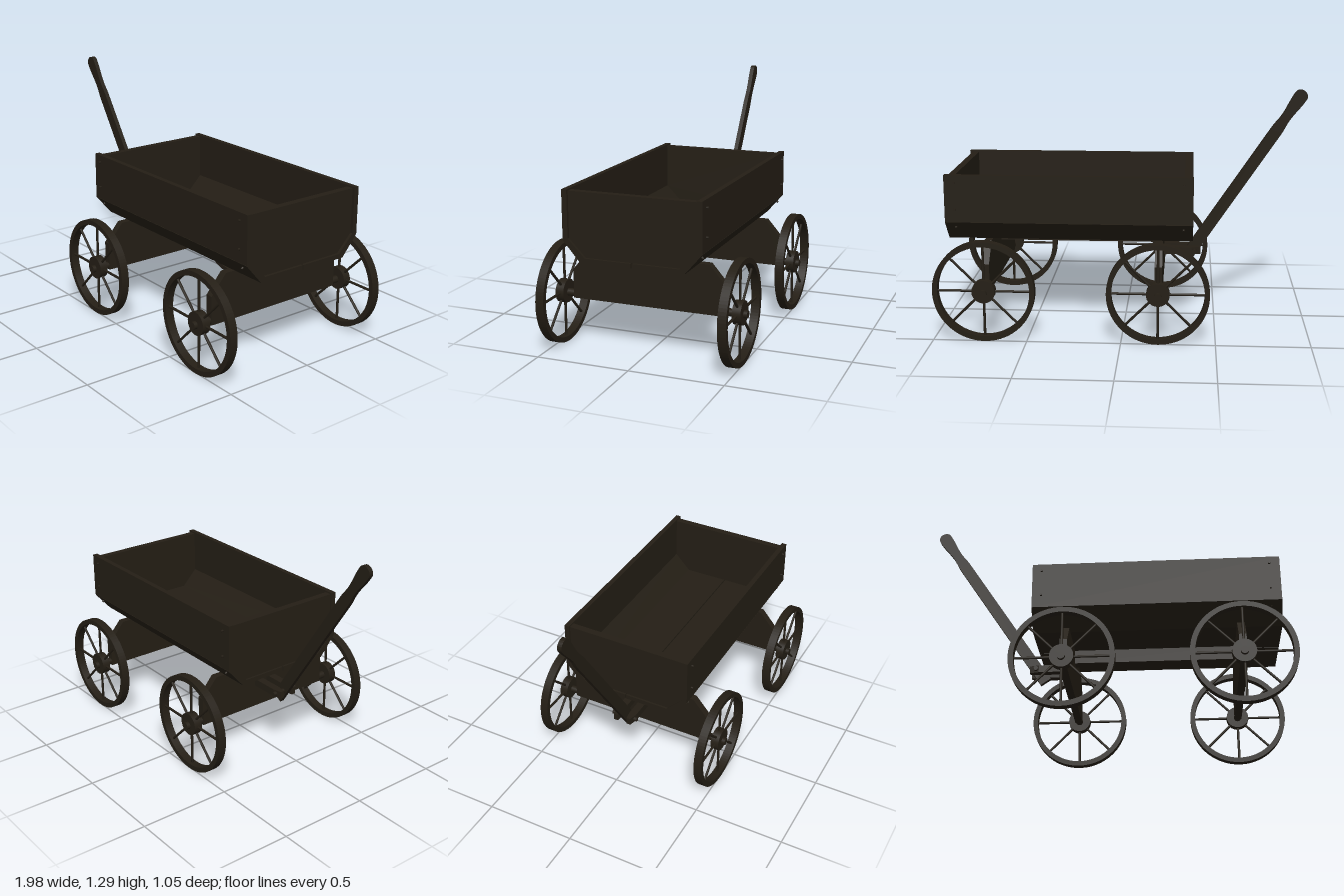
import * as THREE from 'three';

const wood = new THREE.MeshStandardMaterial({ color: 0x241e15 });

export function createModel() {
  const wagon = new THREE.Group();
  wagon.name = 'wagon';

  const add = (parent, name, geometry, x = 0, y = 0, z = 0) => {
    const mesh = new THREE.Mesh(geometry, wood);
    mesh.name = name;
    mesh.position.set(x, y, z);
    parent.add(mesh);
    return mesh;
  };

  // A [z, y] outline extruded lengthwise from x0 to x1
  const board = (name, points, x0, x1) => {
    const shape = new THREE.Shape(points.map(([z, y]) => new THREE.Vector2(-z, y)));
    const geometry = new THREE.ExtrudeGeometry(shape, { depth: x1 - x0, bevelEnabled: false });
    geometry.rotateY(Math.PI / 2).translate(x0, 0, 0);
    return add(wagon, name, geometry);
  };
  const mirrored = (half) => [...half, ...half.map(([z, y]) => [-z, y]).reverse()];

  // Cargo box: upright sides, sloped lower sides, two floor planks
  const X0 = -0.375, X1 = 0.945;
  for (const s of [1, -1]) {
    const m = (points) => points.map(([z, y]) => [s * z, y]);
    board('sideBoard', m([[0.34, 0.615], [0.368, 0.615], [0.368, 0.87], [0.34, 0.87]]), X0, X1);
    board('slopedBoard', m([[0.275, 0.505], [0.368, 0.613], [0.34, 0.622], [0.25, 0.53]]), X0, X1);
    board('floorPlank', m([[0.003, 0.505], [0.275, 0.505], [0.25, 0.53], [0.003, 0.53]]), X0, X1);
  }
  const endOutline = mirrored([[0.25, 0.53], [0.34, 0.62], [0.34, 0.862]]);
  board('frontEndBoard', endOutline, -0.365, -0.328);
  board('rearEndBoard', endOutline, 0.893, 0.93);

  // Bolts through the sides into the end boards
  for (const x of [-0.325, 0.89]) for (const s of [1, -1]) {
    for (const y of [0.83, 0.685]) {
      const bolt = add(wagon, 'sideBolt', new THREE.CylinderGeometry(0.006, 0.006, 0.02, 10), x, y, s * 0.37);
      bolt.rotation.x = Math.PI / 2;
    }
    const low = add(wagon, 'slopeBolt', new THREE.CylinderGeometry(0.006, 0.006, 0.02, 10), x, 0.585, s * 0.345);
    low.rotation.x = s * 2.27;
  }

  // Wheel: flat rim, hub and eight round spokes
  const R = 0.272, RIM = 0.245, W = 0.045;
  const rimShape = new THREE.Shape().absarc(0, 0, R, 0, Math.PI * 2, false);
  rimShape.holes.push(new THREE.Path().absarc(0, 0, RIM, 0, Math.PI * 2, true));
  const rimGeometry = new THREE.ExtrudeGeometry(rimShape, { depth: W, bevelEnabled: false, curveSegments: 48 });
  rimGeometry.translate(0, 0, -W / 2);
  const hubGeometry = new THREE.CylinderGeometry(0.062, 0.062, W, 32).rotateX(Math.PI / 2);
  const spokeGeometry = new THREE.CylinderGeometry(0.007, 0.007, 0.21, 8).translate(0, 0.15, 0);
  const makeWheel = (x, z) => {
    const wheel = new THREE.Group();
    wheel.name = 'wheel';
    wheel.position.set(x, R, z);
    add(wheel, 'rim', rimGeometry);
    add(wheel, 'hub', hubGeometry);
    for (let i = 0; i < 8; i++) add(wheel, 'spoke', spokeGeometry).rotation.z = (i * Math.PI) / 4;
    wagon.add(wheel);
  };

  // Bolsters with axles, wheels and a through bolt
  const bolsterOutline = mirrored([[0.42, 0.245], [0.42, 0.4], [0.33, 0.505]]);
  for (const [x, out] of [[-0.195, -1], [0.725, 1]]) {
    board('bolster', bolsterOutline, x - 0.02, x + 0.02);
    const axle = add(wagon, 'axle', new THREE.CylinderGeometry(0.02, 0.02, 1.05, 20), x, 0.266, 0);
    axle.rotation.x = Math.PI / 2;
    makeWheel(x, 0.483);
    makeWheel(x, -0.483);
    const bolt = add(wagon, 'bolsterBolt', new THREE.CylinderGeometry(0.013, 0.013, 0.016, 12), x + out * 0.025, 0.46, 0);
    bolt.rotation.z = Math.PI / 2;
  }

  // Beam joining the bolsters beneath the floor
  add(wagon, 'reachBeam', new THREE.BoxGeometry(0.9, 0.075, 0.06), 0.265, 0.4675, 0);

  // Forked hitch with its pivot pin
  for (const s of [1, -1]) {
    const prong = new THREE.Shape([[-0.2, 0.02], [-0.37, 0.02], [-0.42, 0.028], [-0.42, 0.05], [-0.37, 0.062], [-0.2, 0.062]]
      .map(([x, z]) => new THREE.Vector2(x, -s * z)));
    const geometry = new THREE.ExtrudeGeometry(prong, { depth: 0.04, bevelEnabled: false }).rotateX(-Math.PI / 2);
    add(wagon, 'hitchProng', geometry, 0, 0.37, 0);
  }
  const pin = add(wagon, 'hitchPin', new THREE.CylinderGeometry(0.012, 0.012, 0.15, 14), -0.385, 0.39, 0);
  pin.rotation.x = Math.PI / 2;

  // Flat pull handle with a shaped, round-ended grip
  const handle = new THREE.Shape();
  handle.moveTo(-0.032, 0);
  handle.lineTo(0.032, 0);
  handle.lineTo(0.032, 0.87);
  handle.bezierCurveTo(0.032, 0.93, 0.024, 0.93, 0.026, 0.98);
  handle.bezierCurveTo(0.028, 1.03, 0.036, 1.05, 0.036, 1.11);
  handle.bezierCurveTo(0.036, 1.155, -0.036, 1.155, -0.036, 1.11);
  handle.bezierCurveTo(-0.036, 1.05, -0.028, 1.03, -0.026, 0.98);
  handle.bezierCurveTo(-0.024, 0.93, -0.032, 0.93, -0.032, 0.87);
  handle.closePath();
  const handleGeometry = new THREE.ExtrudeGeometry(handle, { depth: 0.024, bevelEnabled: false, curveSegments: 10 });
  handleGeometry.translate(0, 0, -0.012);
  add(wagon, 'pullHandle', handleGeometry, -0.335, 0.33, 0.008).rotation.z = 0.588;

  return wagon;
}
